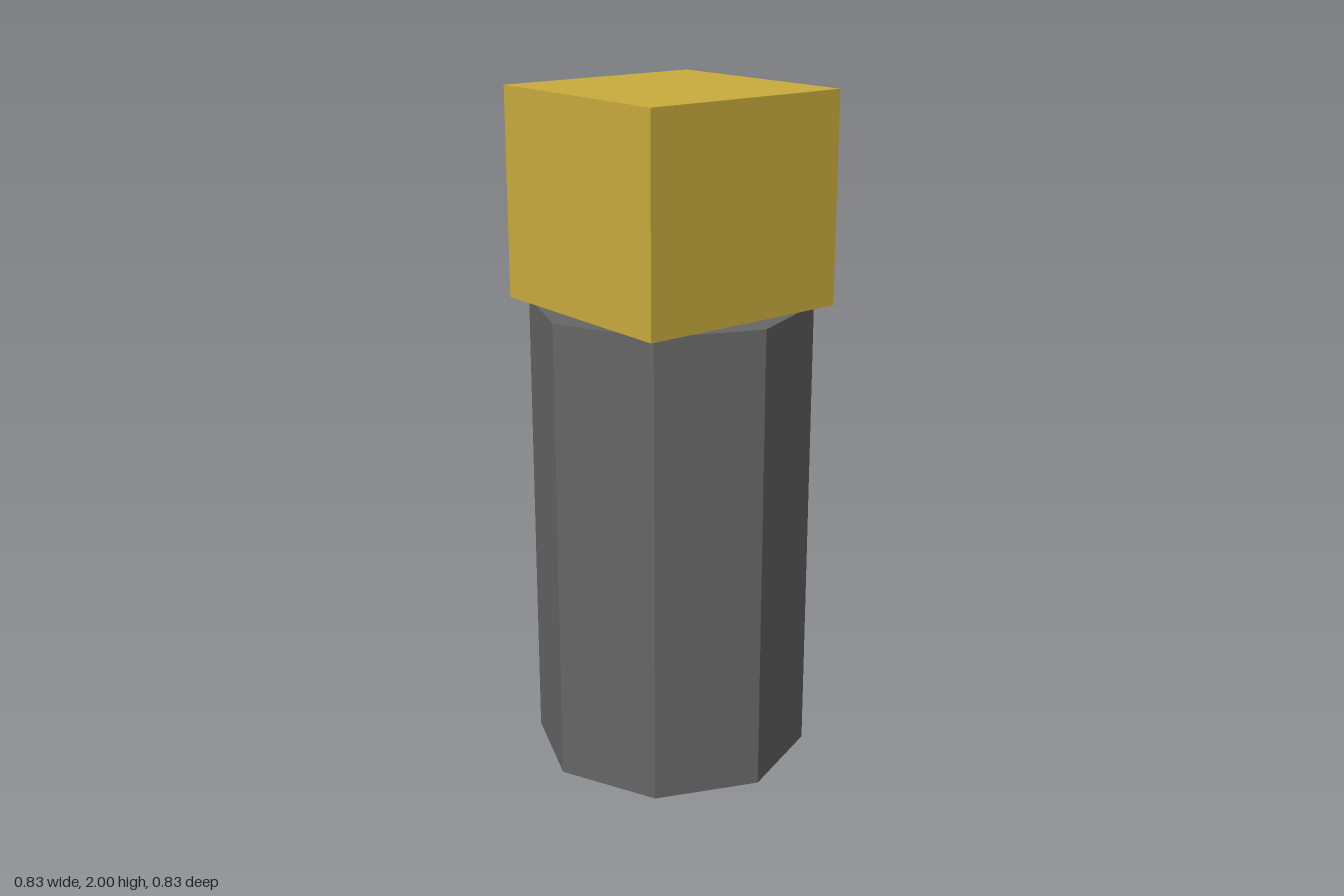
import * as THREE from 'three';

export function createModel() {
  const group = new THREE.Group();
  const shaftHeight = 1.39, headHeight = 0.61, headWidth = 0.664;

  const addPart = (name, geometry, color, y) => {
    const material = new THREE.MeshStandardMaterial({ color, flatShading: true });
    const mesh = new THREE.Mesh(geometry, material);
    mesh.name = name;
    mesh.position.y = y;
    group.add(mesh);
  };

  // Eight-sided shaft with corners on the x and z axes
  addPart('shaft', new THREE.CylinderGeometry(0.414, 0.414, shaftHeight, 8), 0x666666, shaftHeight / 2);

  // Square block resting on the shaft
  addPart('head', new THREE.BoxGeometry(headWidth, headHeight, headWidth), 0xc9ac3e, shaftHeight + headHeight / 2);

  return group;
}
